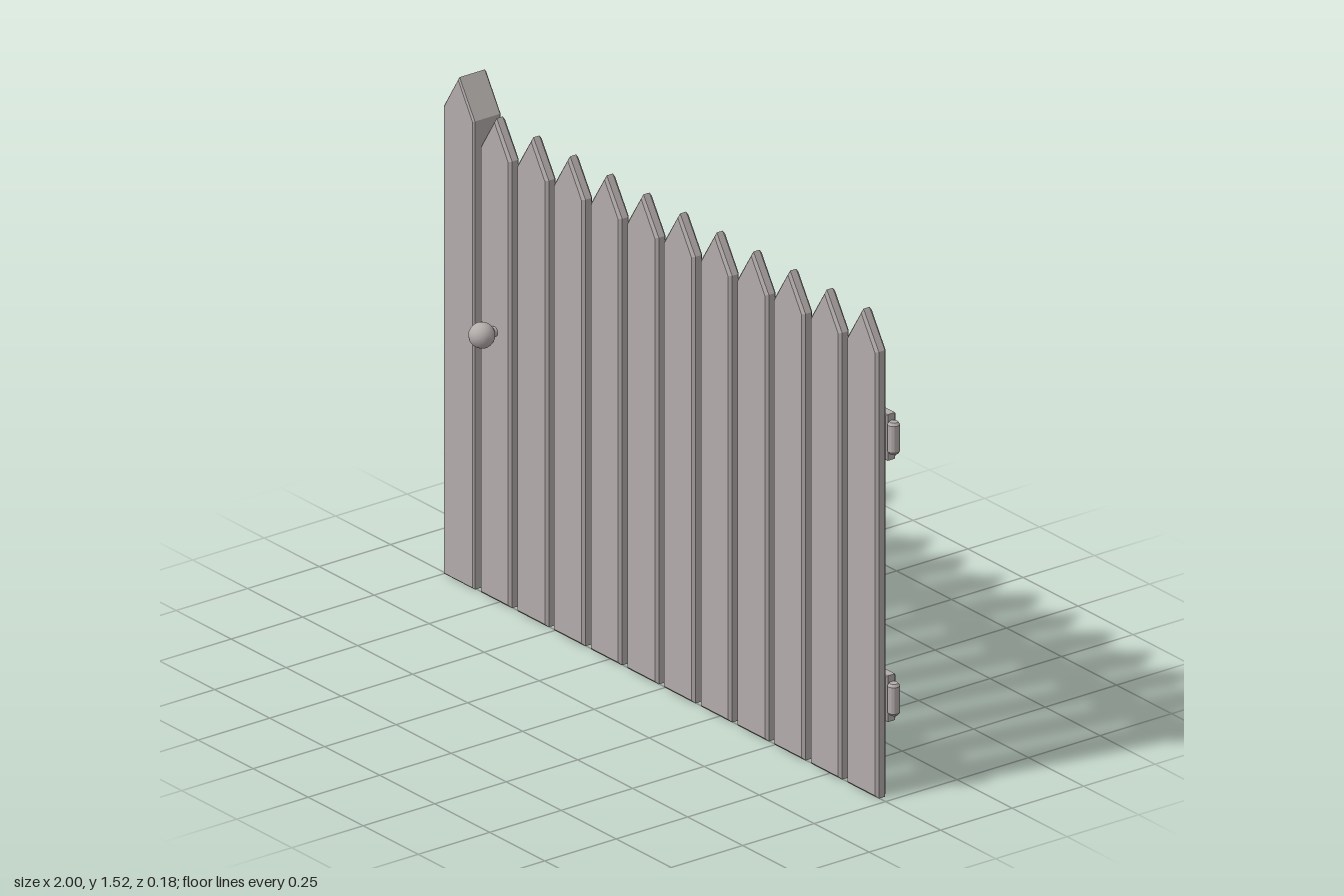
import * as THREE from 'three';

export function createModel() {
  const gate = new THREE.Group();
  gate.name = 'picketGate';
  const paint = new THREE.MeshStandardMaterial({ color: 0xb3adab });
  paint.name = 'warm grey paint';

  function add(name, geometry, x, y, z) {
    const mesh = new THREE.Mesh(geometry, paint);
    mesh.name = name;
    mesh.position.set(x, y, z);
    gate.add(mesh);
    return mesh;
  }

  // Extrudes an outline between two depths, chamfering both rims inwards
  function board(points, back, front, bevel) {
    const shape = new THREE.Shape(points.map(([x, y]) => new THREE.Vector2(x, y)));
    const geometry = new THREE.ExtrudeGeometry(shape, {
      depth: front - back - 2 * bevel,
      bevelEnabled: true, bevelSegments: 1,
      bevelThickness: bevel, bevelSize: bevel, bevelOffset: -bevel,
    });
    return geometry.translate(0, 0, back + bevel);
  }

  const pointed = (w, shoulder, peak) =>
    [[-w / 2, 0], [w / 2, 0], [w / 2, shoulder], [0, peak], [-w / 2, shoulder]];

  // Latch post
  add('post', board(pointed(0.14, 1.415, 1.525), -0.088, 0.01, 0.005), -0.93, 0, 0);

  // Eleven pointed pickets
  const picket = board(pointed(0.14, 1.35, 1.457), -0.027, 0.01, 0.008);
  for (let i = 0; i < 11; i++) {
    add('picket', picket, -0.765 + i * 0.1667, 0, 0);
  }

  // Two rails, each with a hinge barrel at the free end
  const rail = board([[-0.83, -0.07], [0.967, -0.07], [0.967, 0.07], [-0.83, 0.07]],
    -0.064, -0.027, 0.006);
  const barrel = new THREE.LatheGeometry([
    [0, -0.048], [0.012, -0.048], [0.018, -0.04], [0.018, 0.04], [0.012, 0.048], [0, 0.048],
  ].map(([r, y]) => new THREE.Vector2(r, y)), 12).toNonIndexed();
  barrel.computeVertexNormals();
  for (const y of [0.29, 1.08]) {
    add('rail', rail, 0, y, 0);
    add('hingeBarrel', barrel, 0.981, y + 0.003, -0.043);
  }

  // Faceted round knob on a short stem
  const stem = new THREE.CylinderGeometry(0.015, 0.015, 0.04, 12).rotateX(Math.PI / 2);
  add('knobStem', stem, -0.765, 0.815, 0.015);
  add('knob', new THREE.IcosahedronGeometry(0.038, 2), -0.765, 0.815, 0.054);

  return gate;
}
